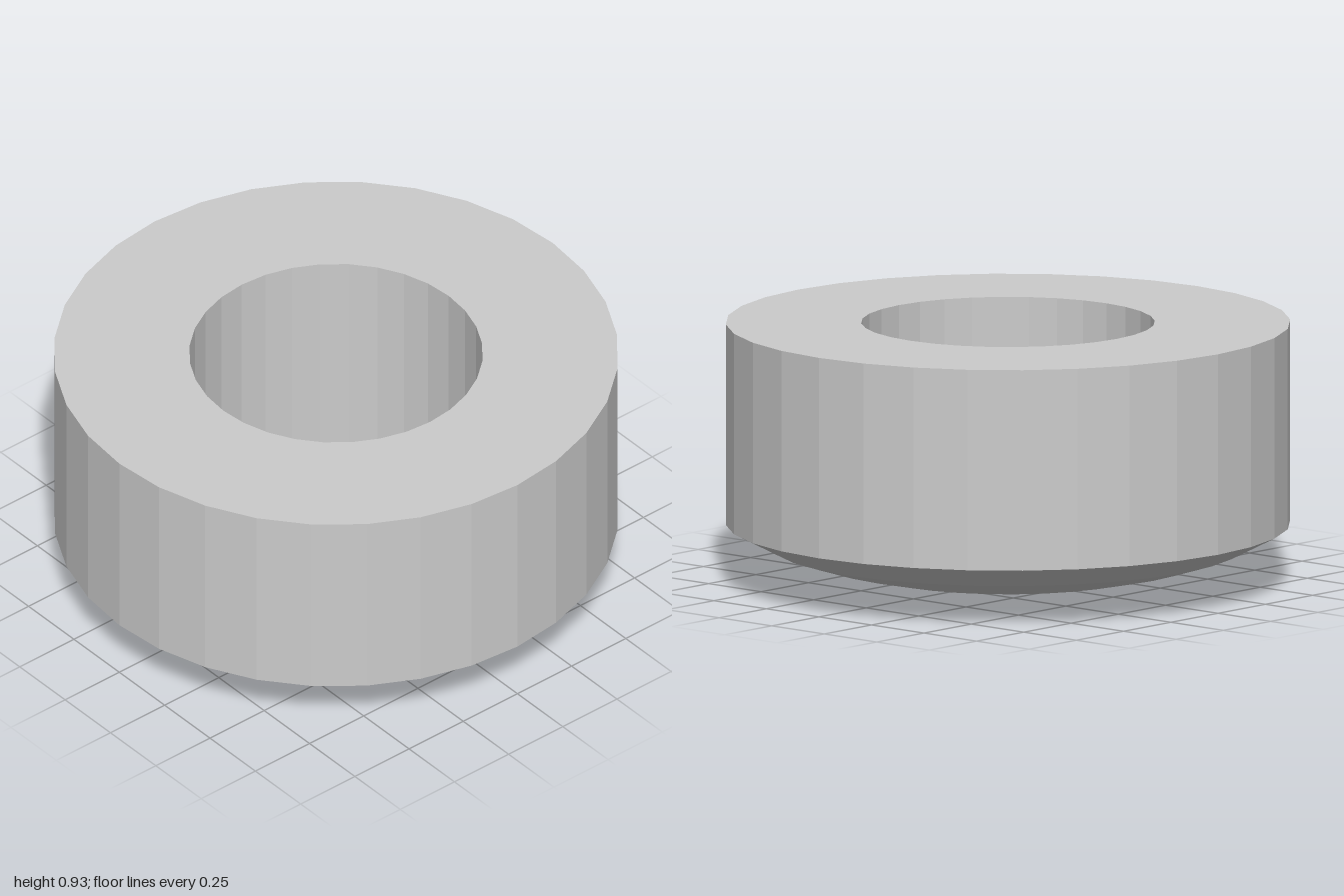
import * as THREE from 'three';

const SIDES = 32;
const material = new THREE.MeshStandardMaterial({ color: 0xcccccc, flatShading: true });

// Revolve a profile of [radius, height] pairs, running upward on the outside
function turned(name, profile) {
  const points = profile.map(([r, y]) => new THREE.Vector2(r, y));
  const mesh = new THREE.Mesh(new THREE.LatheGeometry(points, SIDES), material);
  mesh.name = name;
  return mesh;
}

export function createModel() {
  const group = new THREE.Group();
  group.name = 'roundedRing';

  // Thick ring: rounded underside, straight wall, flat rim and bore
  group.add(turned('ringBody', [
    [0.52, 0.042], [0.69, 0.08], [0.84, 0.127], [1, 0.21],
    [1, 0.93], [0.52, 0.93], [0.52, 0.042],
  ]));

  // Shallow cap closing the bore at the bottom, with a flat floor
  group.add(turned('bottomCap', [[0, 0], [0.52, 0.042], [0, 0.042]]));

  return group;
}
